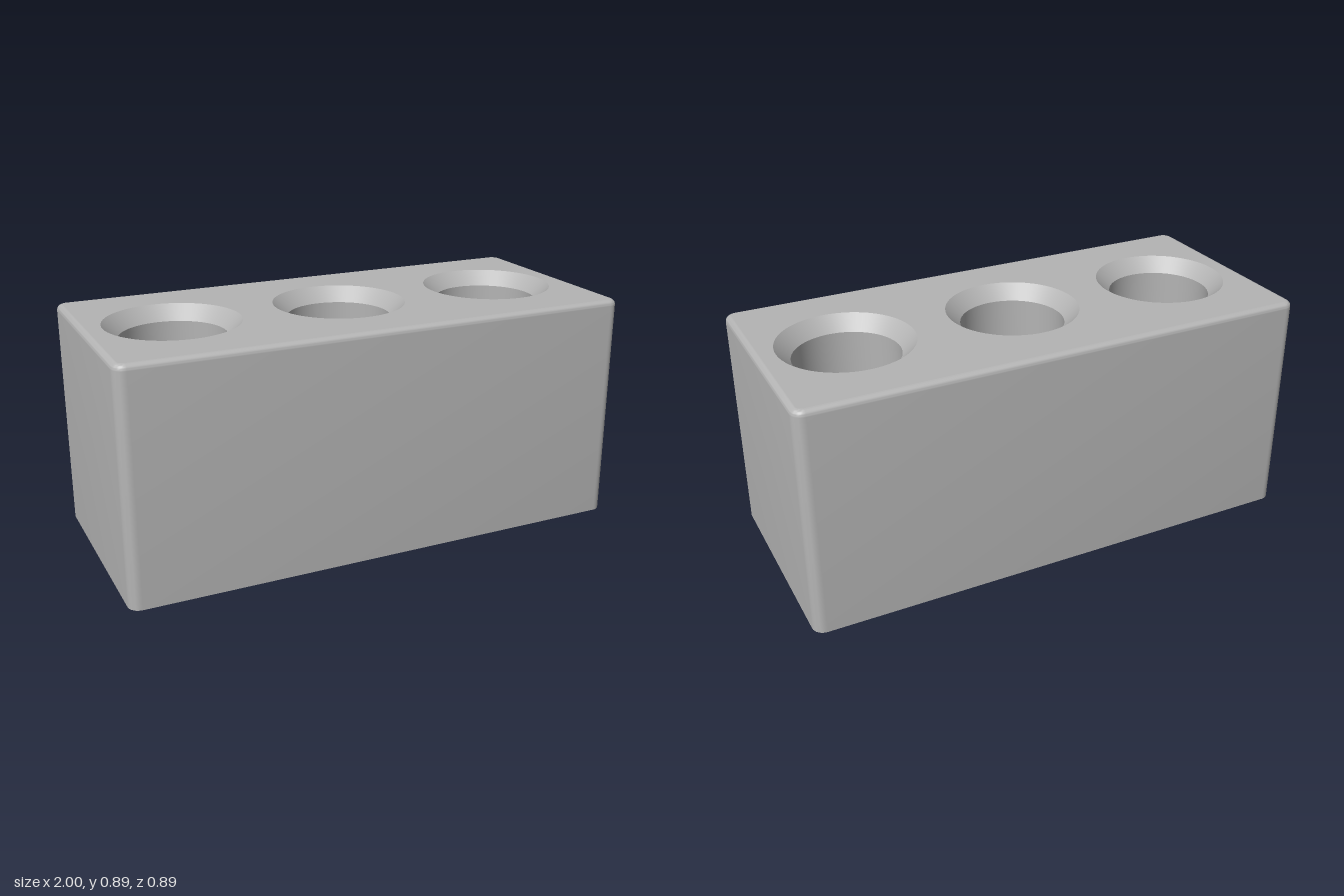
import * as THREE from 'three';
import { toCreasedNormals } from 'three/addons/utils/BufferGeometryUtils.js';

const W = 2, D = 0.89, H = 0.89;            // block size
const CORNER = 0.044, TOP_ROUND = 0.022;    // edge roundings
const HOLE_R = 0.2, RIM_R = 0.256, HOLE_DEPTH = 0.67;
const HOLES = [-0.667, 0, 0.667].map((x) => [x, 0]);
const RECESS_R = 0.12, RECESS_DEPTH = 0.025;
const RECESSES = [[-0.84, -0.266], [0.84, -0.266], [-0.84, 0.266], [0.84, 0.266]];
const SEGMENTS = 64;

// Rounded rectangle outline, counter-clockwise, shrunk by an inset
function outline(inset) {
  const r = CORNER - inset, points = [];
  [[1, 1], [-1, 1], [-1, -1], [1, -1]].forEach(([sx, sy], corner) => {
    for (let k = 0; k <= 8; k++) {
      const a = (corner + k / 8) * Math.PI / 2;
      points.push(new THREE.Vector2(
        sx * (W / 2 - CORNER) + r * Math.cos(a),
        sy * (D / 2 - CORNER) + r * Math.sin(a)));
    }
  });
  return points;
}

// Side walls rising into the rounded top edge
function wallGeometry() {
  const rings = [[0, 0]];
  for (let k = 0; k <= 8; k++) {
    const a = (k / 8) * Math.PI / 2;
    rings.push([TOP_ROUND * (1 - Math.cos(a)), H - TOP_ROUND * (1 - Math.sin(a))]);
  }
  const positions = [], index = [], n = outline(0).length;
  rings.forEach(([inset, y], i) => {
    outline(inset).forEach((p, j) => {
      positions.push(p.x, y, -p.y);
      if (i === rings.length - 1) return;
      const a = i * n + j, b = i * n + (j + 1) % n;
      index.push(a, b, b + n, a, b + n, a + n);
    });
  });
  const geometry = new THREE.BufferGeometry();
  geometry.setAttribute('position', new THREE.Float32BufferAttribute(positions, 3));
  geometry.setIndex(index);
  return toCreasedNormals(geometry, Math.PI / 6);
}

// Flat face with round openings
function faceGeometry(inset, centres, radius) {
  const shape = new THREE.Shape(outline(inset));
  for (const [x, z] of centres) {
    shape.holes.push(new THREE.Path().absarc(x, z, radius, 0, Math.PI * 2, true));
  }
  return new THREE.ShapeGeometry(shape, SEGMENTS / 2);
}

// Inward-facing round pocket from a profile running downwards
function pocketGeometry(profile) {
  const points = profile.map(([r, y]) => new THREE.Vector2(r, y));
  return toCreasedNormals(new THREE.LatheGeometry(points, SEGMENTS), Math.PI / 6);
}

export function createModel() {
  const group = new THREE.Group();
  group.name = 'holderBlock';
  const grey = new THREE.MeshStandardMaterial({ color: 0xb4b4b4 });
  grey.name = 'plain grey';

  const add = (name, geometry, x = 0, y = 0, z = 0) => {
    const mesh = new THREE.Mesh(geometry, grey);
    mesh.name = name;
    mesh.position.set(x, y, z);
    group.add(mesh);
  };

  add('sideWalls', wallGeometry());
  add('topFace', faceGeometry(TOP_ROUND, HOLES, RIM_R).rotateX(-Math.PI / 2), 0, H, 0);
  add('bottomFace', faceGeometry(0, RECESSES, RECESS_R).rotateX(Math.PI / 2));

  // Three deep holes with chamfered rims
  const hole = pocketGeometry([
    [RIM_R, 0], [HOLE_R, HOLE_R - RIM_R], [HOLE_R, -HOLE_DEPTH], [0, -HOLE_DEPTH]]);
  HOLES.forEach(([x, z], i) => add(`hole${i + 1}`, hole, x, H, z));

  // Four shallow recesses for feet underneath
  const recess = pocketGeometry([[0, RECESS_DEPTH], [RECESS_R, RECESS_DEPTH], [RECESS_R, 0]]);
  RECESSES.forEach(([x, z], i) => add(`footRecess${i + 1}`, recess, x, 0, z));

  return group;
}
